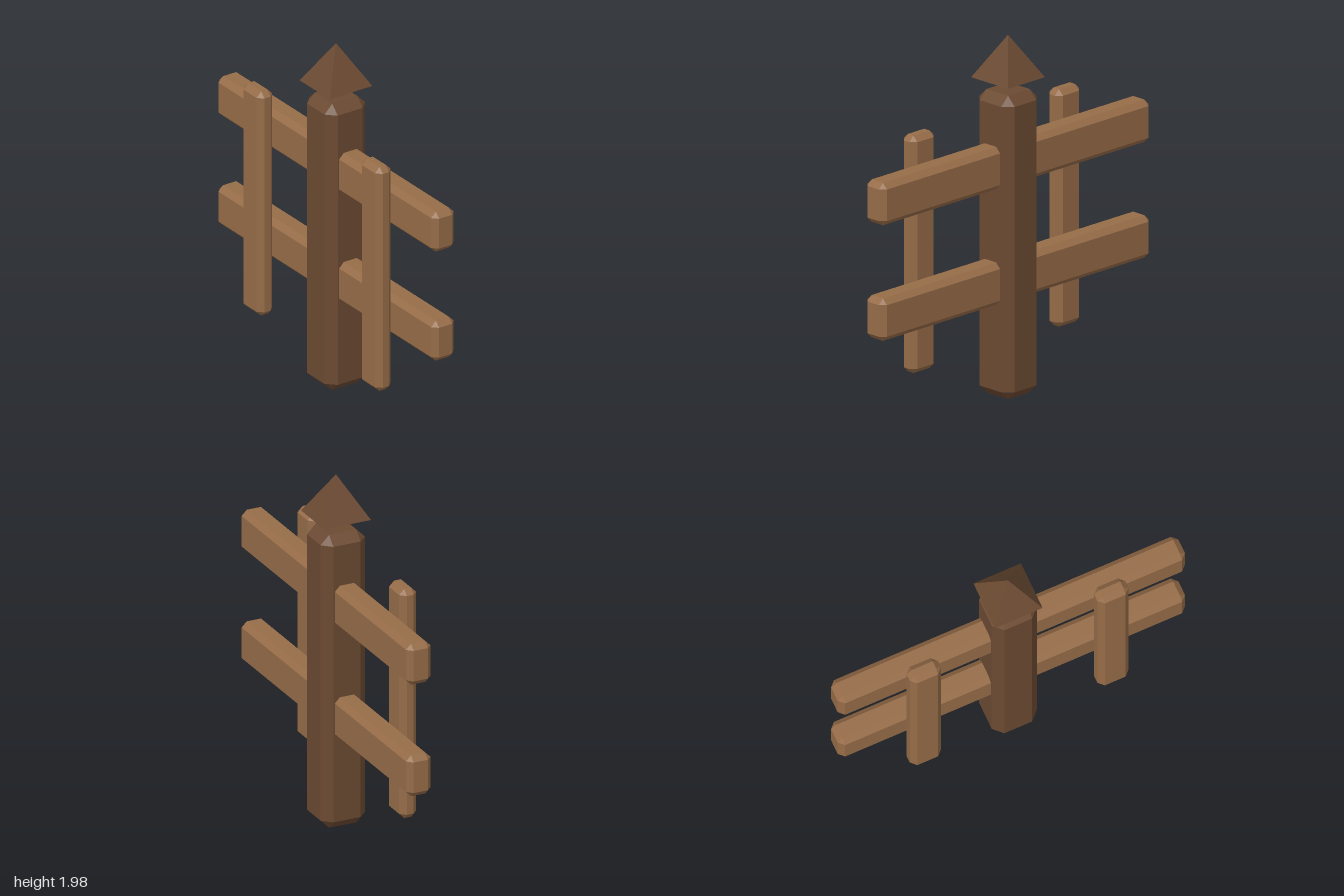
import * as THREE from 'three';
import { ConvexGeometry } from 'three/addons/geometries/ConvexGeometry.js';

const plank = new THREE.MeshStandardMaterial({ color: 0x966c48, flatShading: true });
const darkWood = new THREE.MeshStandardMaterial({ color: 0x6b4a32, flatShading: true });

// Box with every edge cut by a flat chamfer c; each corner becomes a small triangle
function chamferBox(w, h, d, c) {
  const points = [];
  for (const sx of [-1, 1]) for (const sy of [-1, 1]) for (const sz of [-1, 1]) {
    for (let axis = 0; axis < 3; axis++) {
      const half = [w / 2 - c, h / 2 - c, d / 2 - c];
      half[axis] += c;
      points.push(new THREE.Vector3(sx * half[0], sy * half[1], sz * half[2]));
    }
  }
  return new ConvexGeometry(points);
}

export function createModel() {
  const model = new THREE.Group();
  model.name = 'fence';

  const add = (name, geometry, material, x, y, z) => {
    const mesh = new THREE.Mesh(geometry, material);
    mesh.name = name;
    mesh.position.set(x, y, z);
    model.add(mesh);
    return mesh;
  };

  // Central post
  add('post', chamferBox(0.26, 1.68, 0.26, 0.05), darkWood, 0, 0.84, -0.017);

  // Pyramid cap floating just above the post
  const cap = new THREE.ConeGeometry(0.137 * Math.SQRT2, 0.235, 4).rotateY(Math.PI / 4);
  add('postCap', cap, darkWood, 0, 1.8625, -0.017);

  // Horizontal rails running through the post
  const rail = chamferBox(2, 0.235, 0.143, 0.03);
  add('lowerRail', rail, plank, 0, 0.643, -0.017);
  add('upperRail', rail, plank, 0, 1.283, -0.017);

  // Upright pickets on the front of the rails
  const picket = chamferBox(0.18, 1.315, 0.1, 0.03);
  add('rightPicket', picket, plank, -0.54, 0.883, 0.105);
  add('leftPicket', picket, plank, 0.54, 0.883, 0.105);

  return model;
}
